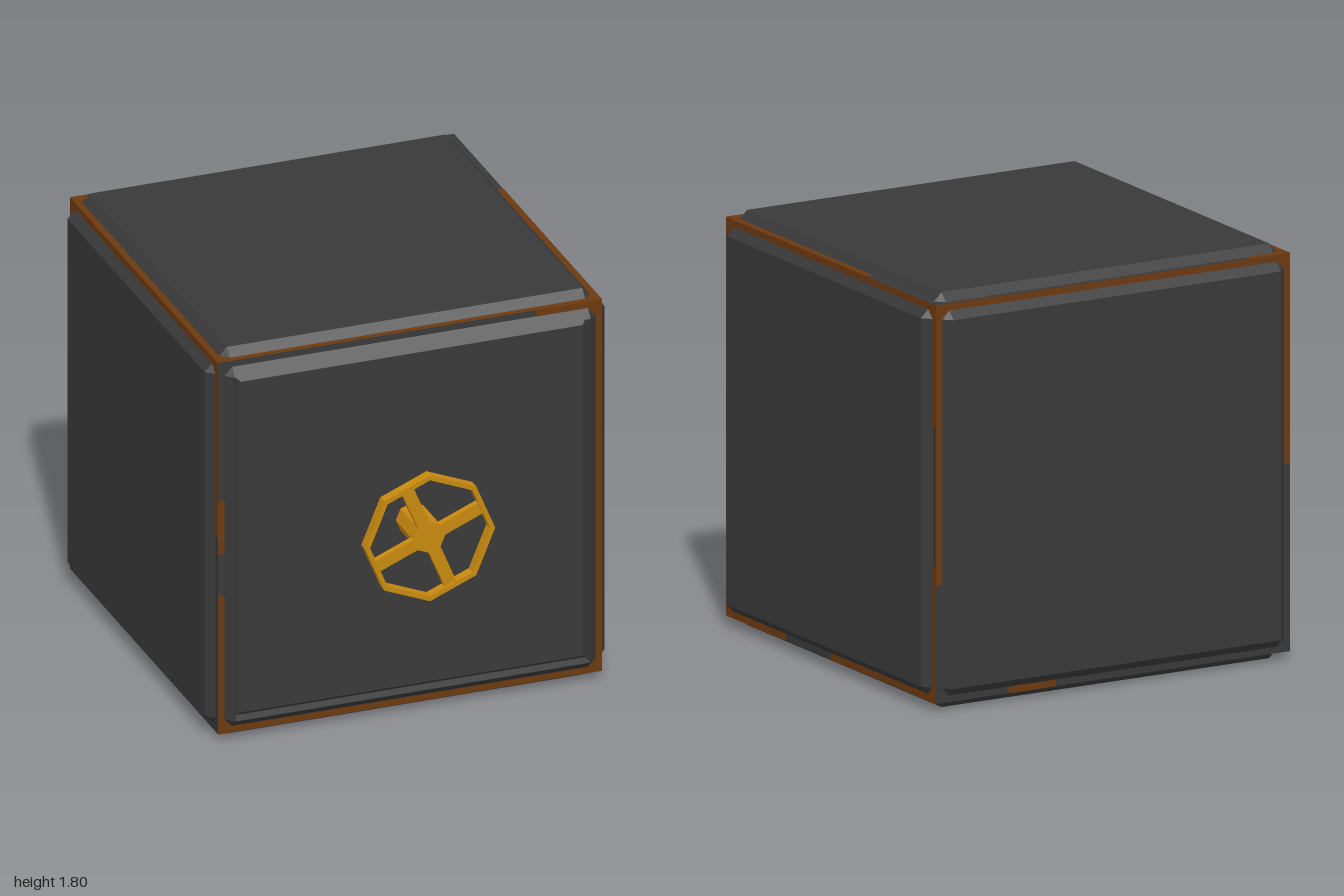
import * as THREE from 'three';

const mat = (name, color) => {
  const m = new THREE.MeshStandardMaterial({ color });
  m.name = name;
  return m;
};

// Faceted loft along z through sections [z, outer half-width, straight half-width]
function loft(sections) {
  const pos = [];
  const ring = ([z, a, b]) =>
    [[a, -b], [a, b], [b, a], [-b, a], [-a, b], [-a, -b], [-b, -a], [b, -a]].map(([x, y]) => [x, y, z]);
  const rings = sections.map(ring);
  for (let i = 0; i < rings.length - 1; i++) {
    for (let j = 0; j < 8; j++) {
      const k = (j + 1) % 8, p = rings[i], q = rings[i + 1];
      pos.push(...p[j], ...p[k], ...q[k], ...p[j], ...q[k], ...q[j]);
    }
  }
  const first = rings[0], last = rings[rings.length - 1];
  for (let j = 1; j < 7; j++) {
    pos.push(...first[0], ...first[j + 1], ...first[j]);
    pos.push(...last[0], ...last[j], ...last[j + 1]);
  }
  const g = new THREE.BufferGeometry();
  g.setAttribute('position', new THREE.Float32BufferAttribute(pos, 3));
  g.computeVertexNormals();
  return g;
}

export function createModel() {
  const steel = mat('dark steel', 0x393939);
  const rust = mat('rust brown', 0x6c3910);
  const brass = mat('brass', 0xc9890f);
  const root = new THREE.Group();
  root.name = 'safe';

  const add = (parent, name, geometry, material) => {
    const mesh = new THREE.Mesh(geometry, material);
    mesh.name = name;
    parent.add(mesh);
    return mesh;
  };

  // Bevelled body with the grooved door at its front
  const body = new THREE.Group();
  body.name = 'body';
  body.position.set(0, 0.9, -0.1);
  root.add(body);
  add(body, 'shellAndDoor', loft([
    [-0.9, 0.8, 0.8], [-0.8, 0.9, 0.8], [0.8, 0.9, 0.8], [0.9, 0.8, 0.8],
    [0.87, 0.785, 0.785], [0.885, 0.77, 0.77],
  ]), steel);

  // Square corner guards that stand out of the bevels
  const E = 0.865, W = 0.065, full = [[-E, E]];
  add(body, 'edgeGuards', new THREE.BoxGeometry(2 * E - 0.002, 2 * E - 0.002, 2 * E - 0.002), steel);

  // Worn rust stretches along the guards of each side
  const sides = [
    { name: 'front', rot: [0, 0], top: [[0.57, E]], right: full, bottom: full, left: [[-E, -0.22], [-0.03, 0.22]] },
    { name: 'left', rot: [0, Math.PI / 2], top: full, left: full, right: [[0.33, E], [-E, -0.27]], bottom: [[-E, -0.37], [0, E]] },
    { name: 'back', rot: [0, Math.PI], top: full, left: [[-0.35, E]], right: [[-0.05, E]], bottom: [[-0.51, -0.28]] },
    { name: 'right', rot: [0, -Math.PI / 2], top: full, left: [[-0.05, E]], right: [[0.05, E]], bottom: [] },
    { name: 'top', rot: [-Math.PI / 2, 0], top: [[-E, -0.67]], bottom: full, left: full, right: [[-E, 0.29]] },
  ];
  for (const side of sides) {
    const frame = new THREE.Group();
    frame.name = side.name + 'Trim';
    frame.rotation.set(side.rot[0], side.rot[1], 0);
    body.add(frame);
    for (const edge of ['top', 'bottom', 'left', 'right']) {
      const level = edge === 'top' || edge === 'bottom';
      const offset = (edge === 'top' || edge === 'right' ? 1 : -1) * (E - W / 2);
      for (const [a, b] of side[edge]) {
        const strip = add(frame, edge + 'Strip',
          new THREE.PlaneGeometry(level ? b - a : W, level ? W : b - a), rust);
        strip.position.set(level ? (a + b) / 2 : offset, level ? offset : (a + b) / 2, E);
      }
    }
  }

  // Eight-sided handwheel with four spokes on a short shaft
  const wheel = new THREE.Group();
  wheel.name = 'handwheel';
  wheel.position.set(0, 0.905, 0);
  root.add(wheel);

  const octagon = (r) => Array.from({ length: 8 }, (_, i) =>
    new THREE.Vector2(r * Math.cos(i * Math.PI / 4), r * Math.sin(i * Math.PI / 4)));
  const rimShape = new THREE.Shape(octagon(0.293));
  rimShape.holes.push(new THREE.Path(octagon(0.27).reverse()));
  const rim = add(wheel, 'rim', new THREE.ExtrudeGeometry(rimShape, { depth: 0.045, bevelEnabled: false }), brass);
  rim.position.z = 0.955;

  const shaft = add(wheel, 'shaft',
    new THREE.ExtrudeGeometry(new THREE.Shape(octagon(0.072)), { depth: 0.22, bevelEnabled: false }), brass);
  shaft.position.z = 0.77;

  for (let i = 0; i < 4; i++) {
    const angle = Math.PI / 8 + i * Math.PI / 2;
    const spoke = add(wheel, 'spoke', new THREE.BoxGeometry(0.22, 0.055, 0.03), brass);
    spoke.position.set(0.147 * Math.cos(angle), 0.147 * Math.sin(angle), 0.974);
    spoke.rotation.z = angle;
  }
  return root;
}
